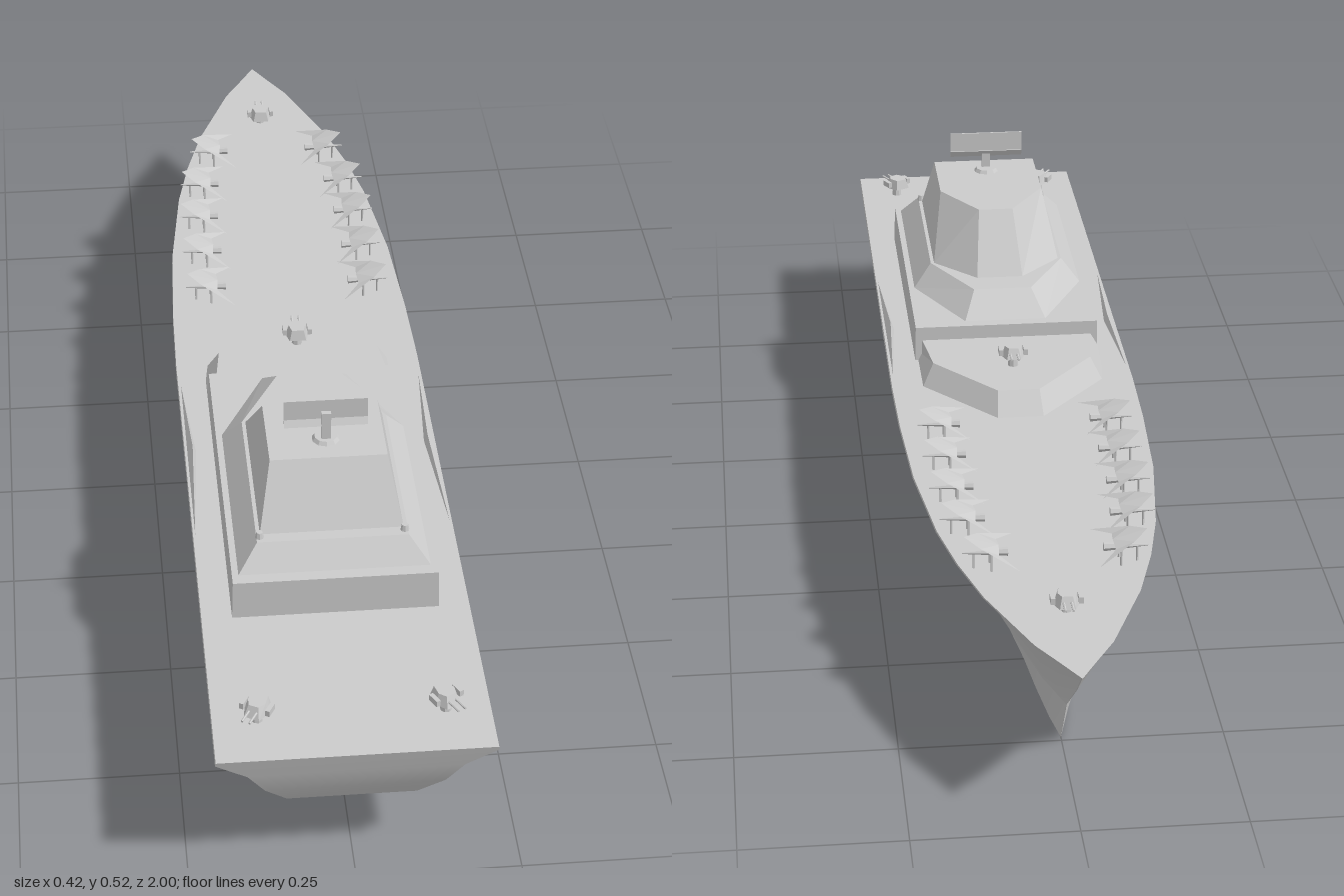
import * as THREE from 'three';
import { toCreasedNormals } from 'three/addons/utils/BufferGeometryUtils.js';
import { ConvexGeometry } from 'three/addons/geometries/ConvexGeometry.js';

const grey = new THREE.MeshStandardMaterial({ color: 0xcccccc, flatShading: true });
const smooth = new THREE.MeshStandardMaterial({ color: 0xcccccc });
const thin = new THREE.MeshStandardMaterial({ color: 0xcccccc, flatShading: true, side: THREE.DoubleSide });

function add(parent, name, geometry, x = 0, y = 0, z = 0, material = grey) {
  const mesh = new THREE.Mesh(geometry, material);
  mesh.name = name;
  mesh.position.set(x, y, z);
  parent.add(mesh);
  return mesh;
}

// Capped loft through mirrored horizontal outlines; each level is a list of
// [x, y, z] points on the +x side, running from stern to bow.
function loft(levels) {
  const rings = levels.map(half => [
    ...half, ...half.map(([x, y, z]) => [-x, y, z]).reverse(),
  ]);
  const n = rings[0].length, pos = [];
  const quad = (a, b, c, d) => pos.push(...a, ...b, ...c, ...a, ...c, ...d);
  for (let k = 0; k < rings.length - 1; k++) {
    const a = rings[k], b = rings[k + 1];
    for (let i = 0; i < n; i++) {
      const j = (i + 1) % n;
      quad(a[i], a[j], b[j], b[i]);
    }
  }
  const bottom = rings[0], top = rings[rings.length - 1];
  for (let i = 0; i < n / 2 - 1; i++) {
    const m = n - 1 - i;
    quad(top[i], top[i + 1], top[m - 1], top[m]);
    quad(bottom[m], bottom[m - 1], bottom[i + 1], bottom[i]);
  }
  const g = new THREE.BufferGeometry();
  g.setAttribute('position', new THREE.Float32BufferAttribute(pos, 3));
  g.computeVertexNormals();
  return g;
}

// Tier between two plan outlines of [x, z] points
const tier = (y0, low, y1, high) =>
  loft([low.map(([x, z]) => [x, y0, z]), high.map(([x, z]) => [x, y1, z])]);

// Deck height rises gently towards the bow
const deckY = z => 0.241 + 0.009 * Math.min(1, 1 - z) + 0.008 * Math.max(0, -z);

// Fullness of a waterline by distance aft of the stem
const bowShape = [[0, 0.004], [0.05, 0.14], [0.1, 0.28], [0.25, 0.57], [0.36, 0.72],
  [0.47, 0.83], [0.66, 0.94], [0.85, 0.985], [1, 1]];

function waterline(y, halfWidth, stern, bow, run, sheer) {
  const pts = [[halfWidth, stern]];
  for (const t of [0.4, 0.7]) pts.push([halfWidth, stern + (bow + run - stern) * t]);
  for (const [d, f] of [...bowShape].reverse()) pts.push([halfWidth * f, bow + run * d]);
  return pts.map(([x, z]) => [x, sheer ? deckY(z) + y : y, z]);
}

// Deck gun: pedestal, turret and twin barrels pointing towards local -z
function gun(name, x, y, z, turn = 0, size = 1) {
  const g = new THREE.Group();
  g.name = name;
  add(g, 'gunPedestal', new THREE.CylinderGeometry(0.007, 0.009, 0.02, 8), 0, 0.01, 0);
  add(g, 'gunTurret', tier(0, [[0.014, 0.022], [0.02, 0], [0.012, -0.02]],
    0.018, [[0.01, 0.018], [0.014, 0], [0.008, -0.012]]), 0, 0.018, 0);
  for (const s of [-1, 1]) {
    const barrel = add(g, 'gunBarrel', new THREE.CylinderGeometry(0.002, 0.002, 0.03, 6), s * 0.006, 0.027, -0.025);
    barrel.rotation.x = Math.PI / 2;
    add(g, 'gunSidePod', new THREE.BoxGeometry(0.007, 0.01, 0.02), s * 0.021, 0.027, 0);
  }
  g.position.set(x, y, z);
  g.rotation.y = turn;
  g.scale.setScalar(size);
  return g;
}

// Parked aircraft: wing tilted inboard, nose pointing outboard along +x
function aircraft() {
  const g = new THREE.Group();
  g.name = 'aircraft';
  const apex = [0.035, 0.054, 0], notch = [-0.018, 0.038, 0];
  const pos = [];
  for (const s of [-1, 1]) {
    const shoulder = [0.012, 0.046, s * 0.026], tip = [-0.045, 0.024, s * 0.062];
    const inner = [-0.016, 0.034, s * 0.026];
    pos.push(...apex, ...shoulder, ...notch, ...shoulder, ...inner, ...notch, ...shoulder, ...tip, ...inner);
    add(g, 'landingLeg', new THREE.CylinderGeometry(0.002, 0.002, 0.03, 5), -0.006, 0.015, s * 0.014);
  }
  const wing = new THREE.BufferGeometry();
  wing.setAttribute('position', new THREE.Float32BufferAttribute(pos, 3));
  wing.computeVertexNormals();
  add(g, 'wing', wing, 0, 0, 0, thin);
  const body = add(g, 'fuselage', new THREE.CylinderGeometry(0.001, 0.007, 0.07, 6), 0.003, 0.026, 0);
  body.rotation.z = -Math.PI / 2;
  add(g, 'noseLeg', new THREE.CylinderGeometry(0.002, 0.002, 0.024, 5), 0.02, 0.012, 0);
  return g;
}

export function createModel() {
  const ship = new THREE.Group();
  ship.name = 'warship';

  // Hull: keel section with a cut-away stern, then the flared topsides and deck
  add(ship, 'lowerHull', toCreasedNormals(loft([
    waterline(0, 0.04, 0.69, -0.74, 0.6),
    waterline(0.1, 0.098, 0.69, -0.81, 0.8),
  ]), 0.4), 0, 0, 0, smooth);
  add(ship, 'upperHull', toCreasedNormals(loft([
    waterline(0.1, 0.098, 0.93, -0.81, 0.8),
    waterline(0.16, 0.134, 0.975, -0.885, 0.88),
    waterline(0.2, 0.16, 0.988, -0.935, 0.94),
    waterline(-0.007, 0.208, 0.998, -0.99, 1, true),
    waterline(0, 0.207, 1, -1, 1, true),
  ]), 0.4), 0, 0, 0, smooth);

  // Raised bulwarks amidships
  for (const s of [-1, 1]) {
    const pts = [[0.207, 0.243, -0.05], [0.207, 0.24, 0.55], [0.194, 0.261, 0.25],
      [0.186, 0.242, 0.25], [0.208, 0.238, 0.25]];
    add(ship, 'sideBulwark', new ConvexGeometry(pts.map(([x, y, z]) => new THREE.Vector3(s * x, y, z))));
  }

  // Superstructure tiers
  add(ship, 'forwardPlatform', tier(0.238, [[0.16, 0.2], [0.16, 0], [0.04, -0.145]],
    0.286, [[0.158, 0.2], [0.135, 0.02], [0.035, -0.1]]));
  add(ship, 'deckhouse', tier(0.236, [[0.16, 0.675], [0.16, 0.115]],
    0.31, [[0.158, 0.675], [0.158, 0.115]]));
  add(ship, 'middleTier', tier(0.31, [[0.148, 0.655], [0.148, 0.29], [0.07, 0.135]],
    0.348, [[0.117, 0.625], [0.117, 0.31], [0.05, 0.185]]));
  add(ship, 'bridgeTower', tier(0.348, [[0.111, 0.605], [0.111, 0.31], [0.04, 0.235]],
    0.447, [[0.091, 0.55], [0.091, 0.405], [0.03, 0.31]]));

  // Radar
  add(ship, 'radarBase', new THREE.CylinderGeometry(0.018, 0.022, 0.006, 10), 0, 0.45, 0.5);
  add(ship, 'radarStem', new THREE.BoxGeometry(0.015, 0.05, 0.008), 0, 0.475, 0.506);
  add(ship, 'radarPanel', new THREE.BoxGeometry(0.13, 0.034, 0.003), 0, 0.503, 0.5);
  const lip = add(ship, 'radarLowerPanel', new THREE.BoxGeometry(0.13, 0.013, 0.003), 0, 0.48, 0.503);
  lip.rotation.x = -0.5;

  // Guns on the bow, platform, stern corners and the rear of the middle tier
  ship.add(gun('bowGun', 0, 0.25, -0.8));
  ship.add(gun('platformGun', 0, 0.286, 0));
  for (const s of [-1, 1]) {
    ship.add(gun('sternGun', s * 0.14, 0.241, 0.91, Math.PI + s * 0.5));
    add(ship, 'towerSensor', new THREE.CylinderGeometry(0.005, 0.007, 0.01, 8), s * 0.112, 0.353, 0.612);
  }

  // Two rows of parked aircraft on the foredeck
  const rows = [[0.14, -0.2], [0.14, -0.315], [0.138, -0.43], [0.13, -0.54], [0.105, -0.655]];
  for (const [x, z] of rows) {
    for (const s of [-1, 1]) {
      const plane = aircraft();
      plane.position.set(s * x, deckY(z), z);
      plane.rotation.y = s > 0 ? 0 : Math.PI;
      ship.add(plane);
    }
  }
  return ship;
}
